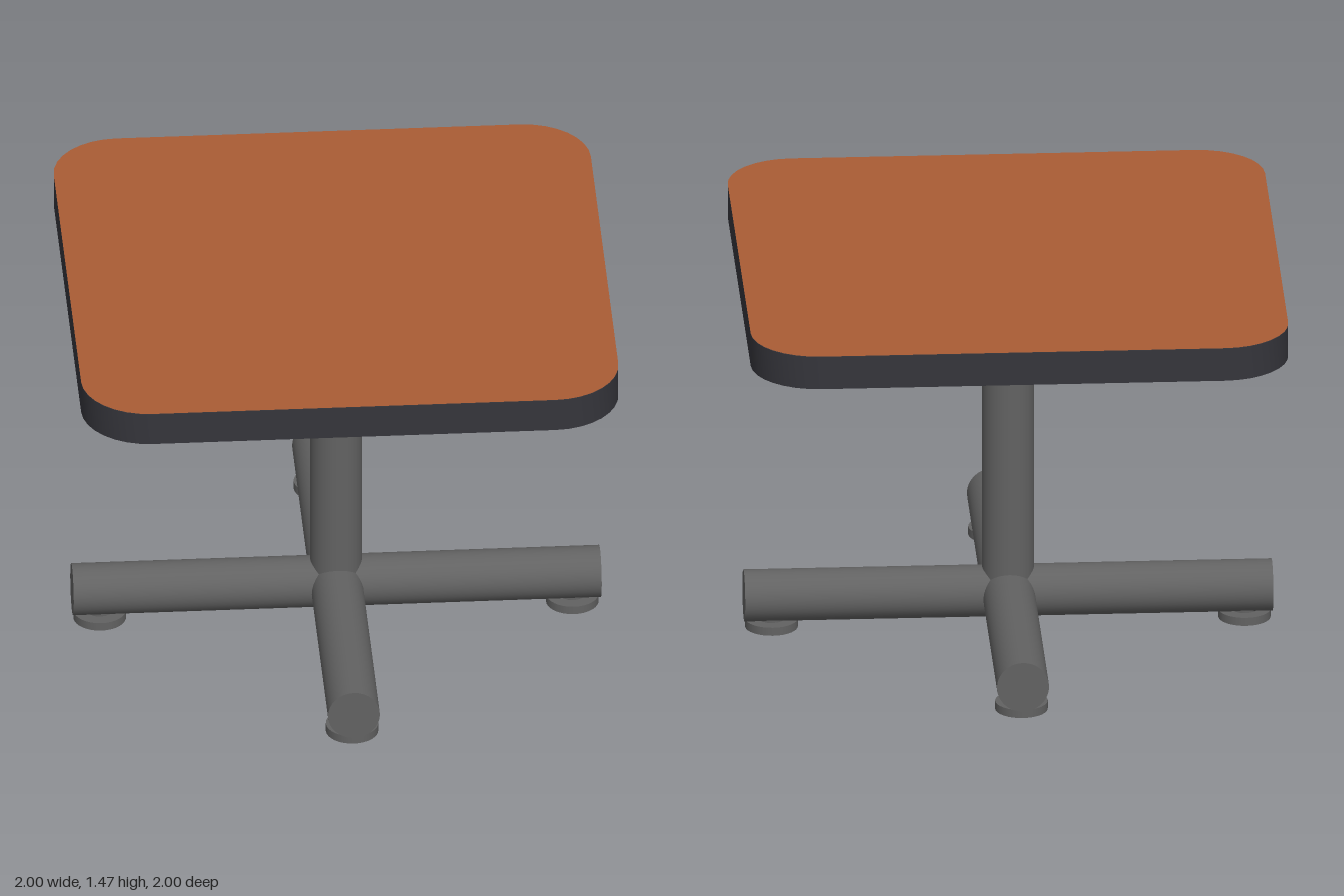
import * as THREE from 'three';
import { toCreasedNormals } from 'three/addons/utils/BufferGeometryUtils.js';

const mat = (name, color) => {
  const m = new THREE.MeshStandardMaterial({ color });
  m.name = name;
  return m;
};

// Square with rounded corners, half-width h and corner radius r
function roundedSquare(h, r) {
  const s = new THREE.Shape(), c = h - r;
  s.absarc(c, c, r, 0, Math.PI / 2);
  s.absarc(-c, c, r, Math.PI / 2, Math.PI);
  s.absarc(-c, -c, r, Math.PI, Math.PI * 1.5);
  s.absarc(c, -c, r, Math.PI * 1.5, Math.PI * 2);
  s.closePath();
  return s;
}

export function createModel() {
  const group = new THREE.Group();
  const wood = mat('wood', 0xaa5c35);
  const edging = mat('dark edging', 0x35353b);
  const steel = mat('grey steel', 0x626262);

  const add = (name, geometry, material, parent = group) => {
    const mesh = new THREE.Mesh(geometry, material);
    mesh.name = name;
    parent.add(mesh);
    return mesh;
  };

  // Table top: dark slab with a wooden face
  const outline = roundedSquare(1, 0.25);
  const slab = new THREE.ExtrudeGeometry(outline, { depth: 0.128, bevelEnabled: false, curveSegments: 4 });
  slab.rotateX(-Math.PI / 2).translate(0, 1.34, 0);
  add('tableSlab', toCreasedNormals(slab, 0.6), edging);
  const face = new THREE.ShapeGeometry(outline, 4);
  face.rotateX(-Math.PI / 2).translate(0, 1.47, 0);
  add('tableFace', face, wood);

  // Column
  const column = new THREE.CylinderGeometry(0.097, 0.097, 1.215, 32);
  add('column', column.translate(0, 0.7325, 0), steel);

  // Four legs in a cross, each with a foot pad
  const legGeometry = new THREE.CylinderGeometry(0.097, 0.097, 0.983, 32);
  legGeometry.rotateZ(-Math.PI / 2).translate(0.4915, 0.125, 0);
  const padGeometry = new THREE.CylinderGeometry(0.098, 0.098, 0.032, 32).translate(0.88, 0.016, 0);
  const stemGeometry = new THREE.CylinderGeometry(0.05, 0.05, 0.04, 16).translate(0.88, 0.045, 0);
  for (let i = 0; i < 4; i++) {
    const arm = new THREE.Group();
    arm.name = 'baseArm' + (i + 1);
    arm.rotation.y = i * Math.PI / 2;
    add('leg', legGeometry, steel, arm);
    add('footPad', padGeometry, steel, arm);
    add('footStem', stemGeometry, steel, arm);
    group.add(arm);
  }
  return group;
}
